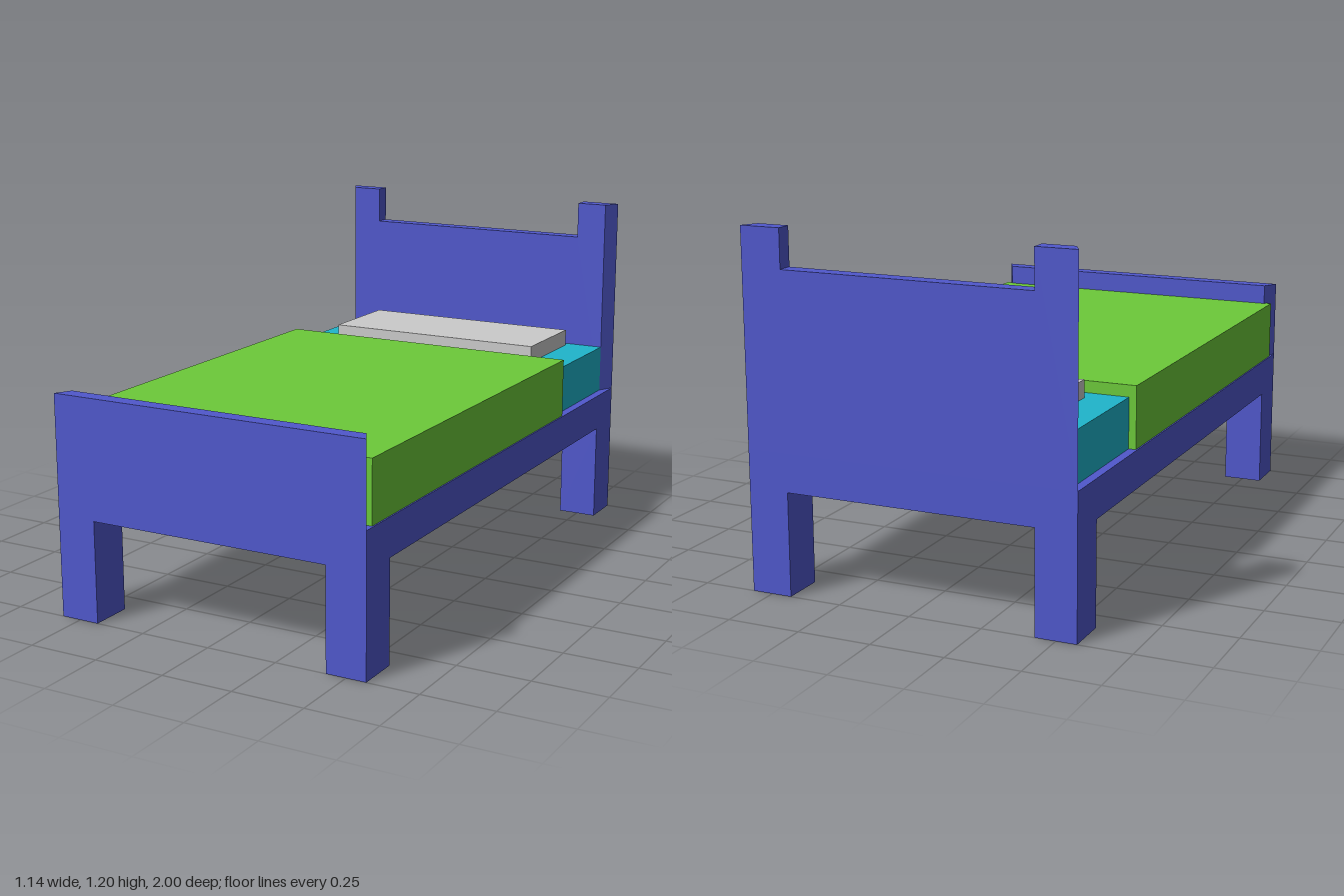
import * as THREE from 'three';

const W = 0.57, DECK = 0.48, RAIL = 0.35, INNER = 0.54, BOARD = 0.055;

export function createModel() {
  const bed = new THREE.Group();
  bed.name = 'bed';
  const mat = (color) => new THREE.MeshStandardMaterial({ color, flatShading: true });
  const wood = mat(0x5058cc), teal = mat(0x1fb5cc), green = mat(0x6cca3a), grey = mat(0xcccccc);

  const add = (name, geometry, material) => {
    const mesh = new THREE.Mesh(geometry, material);
    mesh.name = name;
    bed.add(mesh);
    return mesh;
  };

  // Box given by its limits on each axis
  const box = (name, material, [x0, x1], [y0, y1], [z0, z1]) =>
    add(name, new THREE.BoxGeometry(x1 - x0, y1 - y0, z1 - z0), material)
      .position.set((x0 + x1) / 2, (y0 + y1) / 2, (z0 + z1) / 2);

  // Upright end board whose outer edges taper in toward the mattress (+z before turning)
  const endBoard = (name, outline) => {
    const shape = new THREE.Shape(outline.map(([x, y]) => new THREE.Vector2(x, y)));
    const geo = new THREE.ExtrudeGeometry(shape, { depth: BOARD, bevelEnabled: false });
    const pos = geo.attributes.position;
    for (let i = 0; i < pos.count; i++) {
      const x = pos.getX(i);
      if (pos.getZ(i) > BOARD / 2 && Math.abs(x) > 0.5) pos.setX(i, Math.sign(x) * INNER);
    }
    geo.computeVertexNormals();
    return add(name, geo, wood);
  };

  // Frame and legs
  box('frame', wood, [-W, W], [RAIL, DECK], [-1, 1]);
  for (const sx of [-1, 1]) {
    for (const sz of [-1, 1]) {
      const name = (sz > 0 ? 'front' : 'back') + (sx > 0 ? 'Left' : 'Right') + 'Leg';
      box(name, wood, sx > 0 ? [0.43, W] : [-W, -0.43], [0, RAIL], sz > 0 ? [0.85, 1] : [-1, -0.85]);
    }
  }

  // Headboard with raised corner posts
  endBoard('headboard', [
    [-W, DECK], [W, DECK], [W, 1.2], [0.43, 1.2],
    [0.43, 1.07], [-0.43, 1.07], [-0.43, 1.2], [-W, 1.2],
  ]).position.z = -1;

  // Footboard, turned to face the mattress
  const foot = endBoard('footboard', [[-W, DECK], [W, DECK], [W, 0.76], [-W, 0.76]]);
  foot.rotation.y = Math.PI;
  foot.position.z = 1;

  // Bedding
  box('mattress', teal, [-INNER, INNER], [DECK, 0.65], [-0.95, 0.94]);
  box('blanket', green, [-0.565, 0.565], [DECK, 0.69], [-0.51, 0.955]);
  box('pillow', grey, [-0.413, 0.407], [0.65, 0.71], [-0.913, -0.575]);

  return bed;
}
